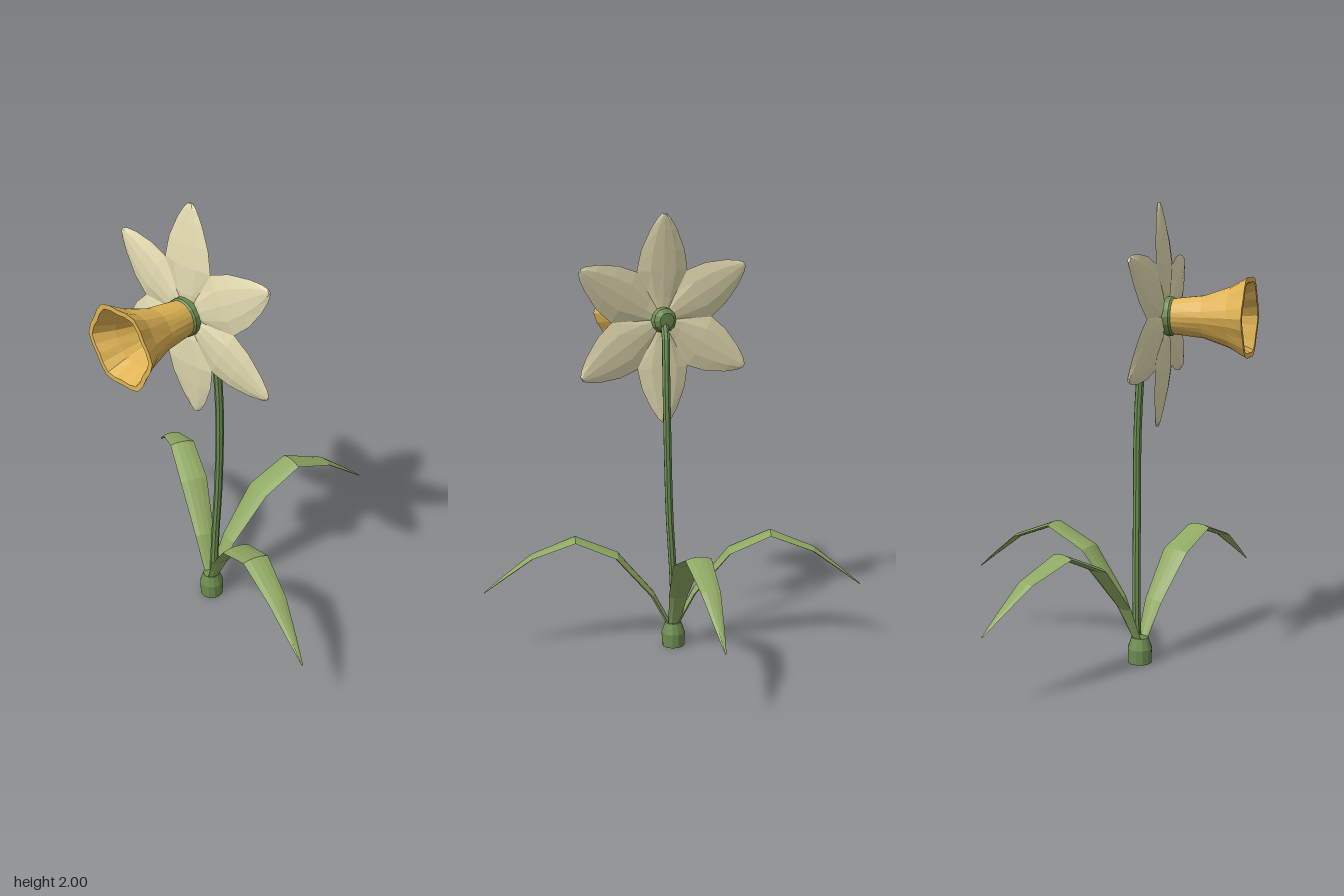
import * as THREE from 'three';

const paint = (color) => new THREE.MeshStandardMaterial({ color, flatShading: true, side: THREE.DoubleSide });
const V = (x, y, z) => new THREE.Vector3(x, y, z);

// Skin a list of equal-length rings of points and cap both ends if wanted
function loft(rings, caps = true) {
  const n = rings[0].length;
  const pos = rings.flat().flatMap((p) => [p.x, p.y, p.z]);
  const idx = [];
  for (let r = 0; r < rings.length - 1; r++) {
    for (let i = 0; i < n; i++) {
      const j = (i + 1) % n, a = r * n, b = a + n;
      idx.push(a + i, a + j, b + j, a + i, b + j, b + i);
    }
  }
  if (caps) {
    const e = (rings.length - 1) * n;
    for (let i = 1; i < n - 1; i++) idx.push(0, i + 1, i, e, e + i, e + i + 1);
  }
  const g = new THREE.BufferGeometry();
  g.setAttribute('position', new THREE.Float32BufferAttribute(pos, 3));
  g.setIndex(idx);
  g.computeVertexNormals();
  return g;
}

// Flat tapering blade running along +x; stations are [x, y, halfWidth, halfThickness]
const LENS = [[1, 0], [0.5, 0.8], [0, 1], [-0.5, 0.8], [-1, 0], [-0.5, -0.8], [0, -1], [0.5, -0.8]];
function blade(stations) {
  return loft(stations.map(([x, y, w, t], i) => {
    const a = stations[Math.max(i - 1, 0)], b = stations[Math.min(i + 1, stations.length - 1)];
    const dir = Math.atan2(b[1] - a[1], b[0] - a[0]);
    return LENS.map(([u, v]) => V(x - Math.sin(dir) * v * t, y + Math.cos(dir) * v * t, -u * w));
  }));
}

export function createModel() {
  const root = new THREE.Group();
  const green = paint(0x6c8c50), leafGreen = paint(0x8fa863);
  const cream = paint(0xe4dcb2), amber = paint(0xdfb354);
  const add = (parent, name, geo, mat) => {
    const m = new THREE.Mesh(geo, mat);
    m.name = name;
    parent.add(m);
    return m;
  };
  const lathe = (pts, sides) => new THREE.LatheGeometry(pts.map(([r, y]) => new THREE.Vector2(r, y)), sides);

  // Base the leaves and stem grow from
  add(root, 'base', lathe([[0, 0], [0.053, 0], [0.055, 0.065], [0.038, 0.115], [0, 0.125]], 12), green)
    .position.set(-0.03, 0, 0.193);

  // Stem, bending forward into the flower
  const path = new THREE.CatmullRomCurve3([
    V(-0.03, 0.08, 0.18), V(-0.02, 0.35, 0.172), V(0, 0.65, 0.167), V(0.01, 1.05, 0.166),
    V(0.005, 1.33, 0.185), V(-0.012, 1.47, 0.222), V(-0.03, 1.53, 0.275),
  ]);
  add(root, 'stem', new THREE.TubeGeometry(path, 14, 0.0185, 8), green);

  // Three arching leaves: horizontal direction and reach, height scale
  const leafProfile = [
    [0, 0.07, 0.022, 0.01], [0.1, 0.265, 0.045, 0.012], [0.265, 0.465, 0.064, 0.012],
    [0.455, 0.55, 0.058, 0.011], [0.655, 0.475, 0.042, 0.009], [0.79, 0.375, 0.02, 0.006], [0.88, 0.305, 0.003, 0.002],
  ];
  [[-0.77, -0.41, 1.01], [0.82, 0.3, 0.975], [0.19, -0.853, 1.045]].forEach(([dx, dz, h], i) => {
    const reach = Math.hypot(dx, dz) / 0.88;
    const leaf = add(root, `leaf${i + 1}`, blade(leafProfile.map(([x, y, w, t]) => [x * reach, y * h, w, t])), leafGreen);
    leaf.position.set(-0.03, 0, 0.193);
    leaf.rotation.y = -Math.atan2(dz, dx);
  });

  // Flower head, facing +z
  const flower = new THREE.Group();
  flower.name = 'flower';
  flower.position.set(-0.03, 1.53, 0);
  root.add(flower);

  // Six petals, swept slightly back at the tips
  const petalGeo = blade([
    [0.03, 0.295, 0.035, 0.01], [0.1, 0.298, 0.075, 0.015], [0.22, 0.292, 0.126, 0.018],
    [0.31, 0.284, 0.108, 0.016], [0.4, 0.274, 0.067, 0.012], [0.45, 0.268, 0.034, 0.009], [0.47, 0.265, 0.012, 0.006],
  ]).rotateX(Math.PI / 2);
  for (let i = 0; i < 6; i++) {
    add(flower, `petal${i + 1}`, petalGeo, cream).rotation.z = Math.PI / 6 + (i * Math.PI) / 3;
  }

  // Green cup behind the petals and collar under the trumpet
  add(flower, 'receptacle', lathe([[0, 0.242], [0.035, 0.244], [0.055, 0.262], [0.06, 0.29], [0, 0.3]], 12).rotateX(Math.PI / 2), green);
  add(flower, 'collar', lathe([[0, 0.29], [0.07, 0.29], [0.083, 0.305], [0.083, 0.33], [0.07, 0.346], [0, 0.346]], 16).rotateX(Math.PI / 2), green);

  // Trumpet: outer wall, rim and inner wall with a six-lobed ruffle [z, radius, ruffle]
  const SIDES = 24;
  const walls = [
    [0.338, 0.076, 0], [0.47, 0.091, 0.002], [0.585, 0.13, 0.005], [0.66, 0.173, 0.009],
    [0.66, 0.152, 0.009], [0.58, 0.112, 0.005], [0.47, 0.074, 0.002], [0.344, 0.053, 0],
  ];
  add(flower, 'trumpet', loft(walls.map(([z, r, f]) => Array.from({ length: SIDES }, (_, i) => {
    const a = (i / SIDES) * Math.PI * 2, q = r + f * Math.cos(6 * a);
    return V(q * Math.cos(a), q * Math.sin(a), z);
  })), false), amber);

  return root;
}
